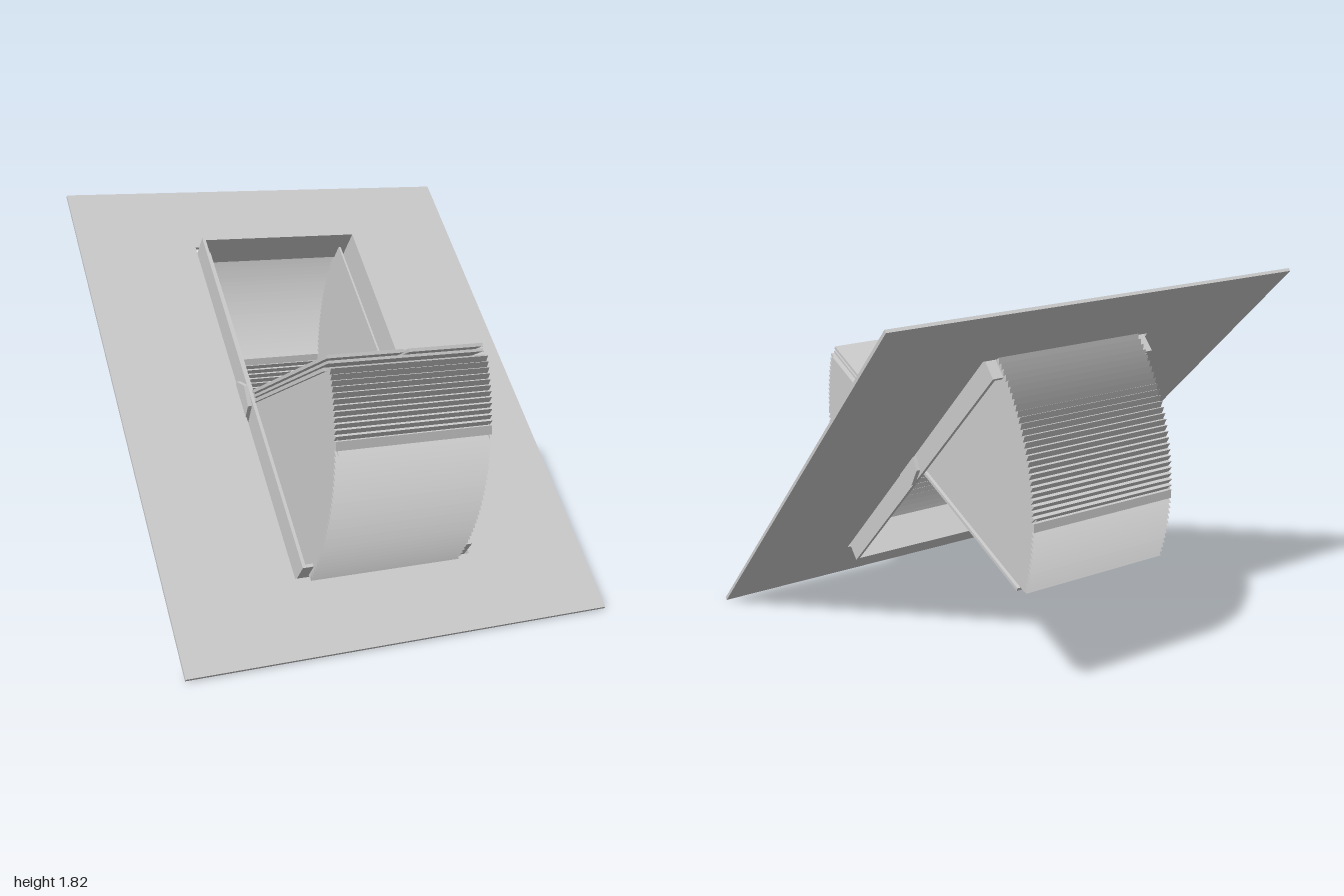
import * as THREE from 'three';

const mat = new THREE.MeshStandardMaterial({ color: 0xcccccc, flatShading: true, side: THREE.DoubleSide });
const RAD = Math.PI / 180;
const T = 0.015; // sheet thickness

function add(parent, name, geometry, x = 0, y = 0, z = 0) {
  const mesh = new THREE.Mesh(geometry, mat);
  mesh.name = name;
  mesh.position.set(x, y, z);
  parent.add(mesh);
  return mesh;
}

const box = (w, h, d) => new THREE.BoxGeometry(w, h, d);

// Extrude a (z, y) side profile across x, centred
function extrudeSide(points, width) {
  const geo = new THREE.ExtrudeGeometry(new THREE.Shape(points), { depth: width, bevelEnabled: false });
  geo.translate(0, 0, -width / 2);
  geo.rotateY(-Math.PI / 2);
  return geo;
}

const polar = (r, deg) => new THREE.Vector2(r * Math.cos(deg * RAD), r * Math.sin(deg * RAD));

// Saw-tooth rim: the teeth hook away from a plain strip in the middle
function rimProfile(shift) {
  const pts = [];
  const valley = 0.918 + shift, tip = 0.94 + shift, strip = 1.2;
  const teeth = (from, to, count) => {
    const list = [];
    const step = (to - from) / count;
    for (let i = 0; i < count; i++) {
      list.push(polar(valley, from + i * step), polar(tip, from + (i + 0.85) * step));
    }
    list.push(polar(valley, to));
    return list;
  };
  pts.push(...teeth(-strip, -44.5, 27).reverse());
  pts.push(polar(tip - 0.004, -strip), polar(tip - 0.004, strip));
  pts.push(...teeth(strip, 19.5, 12));
  return pts;
}

// Hollow quarter drum: two sector walls and a toothed rim
function makeDrum(name) {
  const drum = new THREE.Group();
  drum.name = name;
  const outer = rimProfile(0);
  const wall = extrudeSide([new THREE.Vector2(0, 0), ...outer], 0.01);
  for (const s of [-1, 1]) add(drum, 'drumSideWall', wall, s * 0.355);
  add(drum, 'drumRim', extrudeSide([...outer, ...rimProfile(-0.012).reverse()], 0.7));
  return drum;
}

export function createModel() {
  const model = new THREE.Group();
  model.name = 'rotatingHatch';
  const core = new THREE.Group();
  core.name = 'hatchAssembly';
  core.position.y = 0.91;
  model.add(core);

  // Sloping fixed part: wall panel with opening, and the box frame in it
  const fixed = new THREE.Group();
  fixed.name = 'slopingWall';
  fixed.rotation.x = -Math.PI / 4;
  core.add(fixed);

  const rect = (path, w, h) => path.moveTo(-w, -h).lineTo(w, -h).lineTo(w, h).lineTo(-w, h).closePath();
  const panel = rect(new THREE.Shape(), 1, 1.279);
  panel.holes.push(rect(new THREE.Path(), 0.425, 0.918));
  add(fixed, 'wallPanel', new THREE.ExtrudeGeometry(panel, { depth: T, bevelEnabled: false }), 0, 0, -T / 2);

  for (const s of [-1, 1]) {
    add(fixed, 'frameRail', box(T, 1.82, 0.178), s * 0.4025, 0, 0);
    add(fixed, 'frameEnd', box(0.79, T, 0.178), 0, s * 0.9025, 0);
  }

  // Hexagonal pivot caps on the outside of the rails
  const hexagon = [0, 1, 2, 3, 4, 5].map((i) => polar(0.1, i * 60));
  for (const s of [-1, 1]) add(core, 'pivotCap', extrudeSide(hexagon, 0.02), s * 0.419);

  // Rotor: front drum below the flap, back drum above it
  const rotor = new THREE.Group();
  rotor.name = 'rotor';
  core.add(rotor);
  const back = makeDrum('backDrum');
  back.rotation.x = Math.PI;
  rotor.add(makeDrum('frontDrum'), back);

  // Flap through the axis: base sheet, middle sheet and a split top sheet
  const flap = new THREE.Group();
  flap.name = 'flap';
  flap.rotation.x = -19.8 * RAD;
  rotor.add(flap);
  add(flap, 'baseSheet', box(0.75, T, 1.79), 0, -0.004, 0);
  add(flap, 'middleSheet', box(0.718, 0.012, 1.82), 0, 0.022, 0);
  for (const s of [-1, 1]) add(flap, 'topSheetHalf', box(0.347, T, 1.82), s * 0.1855, 0.045, 0);

  return model;
}
